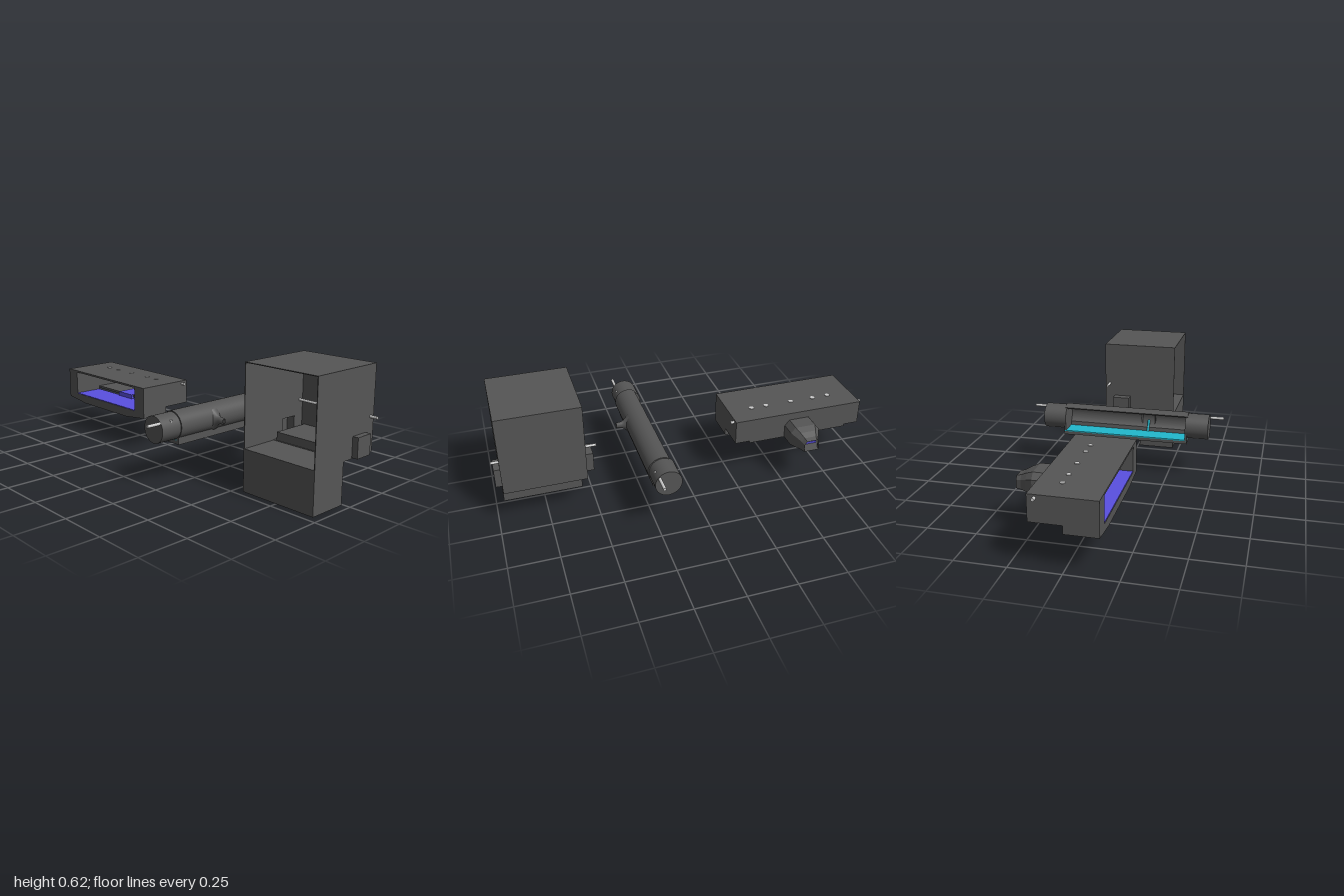
import * as THREE from 'three';

const mat = (color) => new THREE.MeshStandardMaterial({ color, side: THREE.DoubleSide });
const dark = mat(0x555555), grey = mat(0xcccccc), blue = mat(0x5a50e0), cyan = mat(0x22b8cc);

function add(group, name, geo, material) {
  const mesh = new THREE.Mesh(geo, material);
  mesh.name = name;
  group.add(mesh);
  return mesh;
}

// Box given by its limits on each axis
function box(group, name, [x0, x1], [y0, y1], [z0, z1], material = dark) {
  const geo = new THREE.BoxGeometry(x1 - x0, y1 - y0, z1 - z0);
  geo.translate((x0 + x1) / 2, (y0 + y1) / 2, (z0 + z1) / 2);
  return add(group, name, geo, material);
}

// Round bar between two points
function rod(group, name, a, b, r0, r1 = r0, material = grey) {
  const p = new THREE.Vector3(...a), q = new THREE.Vector3(...b);
  const dir = q.clone().sub(p);
  const mesh = add(group, name, new THREE.CylinderGeometry(r1, r0, dir.length(), 12), material);
  mesh.position.copy(p).add(q).multiplyScalar(0.5);
  mesh.quaternion.setFromUnitVectors(new THREE.Vector3(0, 1, 0), dir.normalize());
  return mesh;
}

const poly = (pts) => new THREE.Shape(pts.map(([x, y]) => new THREE.Vector2(x, y)));

function extrudeZ(shape, z0, z1) {
  const geo = new THREE.ExtrudeGeometry(shape, { depth: z1 - z0, bevelEnabled: false, curveSegments: 24 });
  return geo.translate(0, 0, z0);
}

// Open skin through rings of equal point count
function loft(rings) {
  const v = [];
  for (let i = 0; i < rings.length - 1; i++) {
    const a = rings[i], b = rings[i + 1], n = a.length;
    for (let j = 0; j < n; j++) {
      const k = (j + 1) % n;
      v.push(...a[j], ...b[j], ...b[k], ...a[j], ...b[k], ...a[k]);
    }
  }
  const geo = new THREE.BufferGeometry();
  geo.setAttribute('position', new THREE.Float32BufferAttribute(v, 3));
  geo.computeVertexNormals();
  return geo;
}

// Wide open-fronted housing with a rear nozzle
function wideHousing() {
  const g = new THREE.Group();
  g.name = 'wideHousing';
  const cx = -0.62;
  box(g, 'housingRoof', [-0.98, -0.26], [0.34, 0.35], [-0.155, 0.16]);
  box(g, 'housingFloor', [-0.9, -0.34], [0.22, 0.232], [-0.155, 0]);
  for (const [a, b] of [[-0.98, -0.9], [-0.34, -0.26]]) {
    box(g, 'housingSide', [a, b], [0.22, 0.34], [-0.155, 0.16]);
  }
  // Deeper front lip with angled lower corners
  const lip = poly([[-0.98, 0.18], [-0.82, 0.162], [-0.42, 0.162], [-0.26, 0.18],
    [-0.26, 0.22], [-0.34, 0.22], [-0.34, 0.208], [-0.9, 0.208], [-0.9, 0.22], [-0.98, 0.22]]);
  add(g, 'frontLip', extrudeZ(lip, 0, 0.16), dark);

  // Nozzle cross-section, scaled towards its mouth
  const section = [[-0.08, 0.21], [0.08, 0.21], [0.08, 0.28], [0.055, 0.31], [-0.055, 0.31], [-0.08, 0.28]];
  const wall = poly([[-0.9, 0.208], [-0.34, 0.208], [-0.34, 0.34], [-0.9, 0.34]]);
  wall.holes.push(new THREE.Path(section.map(([x, y]) => new THREE.Vector2(cx + x * 0.98, 0.212 + (y - 0.21) * 0.98))));
  add(g, 'housingBack', extrudeZ(wall, -0.155, -0.145), dark);
  const ring = (z, s, h) => section.map(([x, y]) => [cx + x * s, 0.218 + (y - 0.218) * h, z]);
  add(g, 'rearNozzle', loft([ring(-0.15, 1, 1), ring(-0.235, 1, 1), ring(-0.27, 0.78, 0.85),
    ring(-0.3, 0.58, 0.68), ring(-0.325, 0.5, 0.6)]), dark);

  // Blue bed, feed tongue and underside runner
  box(g, 'wideBed', [-0.9, -0.34], [0.206, 0.212], [0, 0.158], blue);
  box(g, 'feedTongue', [-0.68, -0.56], [0.212, 0.236], [-0.235, 0.012], blue);
  box(g, 'underRunner', [-0.68, -0.56], [0.206, 0.222], [-0.26, 0], blue);
  box(g, 'lipRunner', [-0.68, -0.56], [0.16, 0.166], [0, 0.155], blue);

  rod(g, 'crossRod', [-1, 0.334, -0.12], [-0.24, 0.334, -0.12], 0.008);
  for (const x of [-0.84, -0.75, -0.62, -0.475, -0.39]) {
    rod(g, 'roofPin', [x, 0.325, -0.04], [x, 0.353, -0.04], 0.013);
  }
  return g;
}

// Long tube, open along one side, with capped ends
function longTube() {
  const g = new THREE.Group();
  g.name = 'longTube';
  const cx = 0.2, cy = 0.28, r = 0.071, ri = 0.062;
  const top = 2.15, low = -0.85;
  const shell = new THREE.Shape();
  shell.absarc(cx, cy, r, top, low, true);
  shell.lineTo(0.247, 0.19);
  shell.lineTo(0.138, 0.19);
  shell.lineTo(0.138, 0.208);
  shell.lineTo(0.236, 0.208);
  shell.absarc(cx, cy, ri, low, top, false);
  add(g, 'tubeShell', extrudeZ(shell, -0.34, 0.352), dark);
  box(g, 'tubeBed', [0.138, 0.238], [0.207, 0.213], [-0.34, 0.352], cyan);

  for (const [z0, z1] of [[-0.455, -0.33], [0.342, 0.466]]) {
    rod(g, 'endCap', [0.198, 0.278, z0], [0.198, 0.278, z1], 0.068, 0.068, dark).geometry =
      new THREE.CylinderGeometry(0.068, 0.068, z1 - z0, 32);
  }
  // Collars closing the foot at both ends of the opening
  for (const z of [-0.34, 0.342]) {
    box(g, 'endCollar', [0.138, 0.247], [0.19, 0.26], [z, z + 0.01]);
  }
  rod(g, 'frontSpindle', [0.243, 0.317, 0.355], [0.243, 0.317, 0.54], 0.008);
  rod(g, 'rearSpindle', [0.243, 0.315, -0.41], [0.243, 0.315, -0.54], 0.008);
  for (const z of [-0.402, 0.402]) {
    rod(g, 'capPin', [0.23, 0.32, z], [0.256, 0.32, z], 0.006);
  }

  // Flared side spout
  const profile = [[0.055, 0], [0.04, 0.012], [0.026, 0.025], [0.018, 0.04], [0.016, 0.067], [0.01, 0.067]];
  const spout = add(g, 'sideSpout', new THREE.LatheGeometry(profile.map((p) => new THREE.Vector2(...p)), 16), dark);
  spout.rotation.z = -Math.PI / 2;
  spout.scale.set(1, 1, 0.75);
  spout.position.set(0.254, 0.278, 0.12);
  // Cyan runner climbing from the bed to the spout
  const path = new THREE.CatmullRomCurve3([[0.225, 0.213], [0.25, 0.235], [0.259, 0.262], [0.3, 0.272]]
    .map(([x, y]) => new THREE.Vector3(x, y, 0.12)));
  add(g, 'spoutRunner', new THREE.TubeGeometry(path, 12, 0.007, 8), cyan);
  return g;
}

// Tall cabinet with an open front and an overhanging rear
function tallCabinet() {
  const g = new THREE.Group();
  g.name = 'tallCabinet';
  const X = [0.545, 0.96], t = 0.004;
  box(g, 'cabinetBase', X, [0, 0.212], [0.01, 0.212]);
  box(g, 'cabinetFloor', X, [0.205, 0.214], [-0.203, 0.01]);
  box(g, 'cabinetRoof', X, [0.618, 0.622], [-0.203, 0.212]);
  box(g, 'cabinetBack', X, [0.21, 0.62], [-0.203, -0.199]);
  box(g, 'innerStep', [0.565, 0.91], [0.212, 0.255], [-0.199, 0.005]);

  // Side walls with an opening into each side pocket
  for (const [x, outer] of [[0.545, 0.5], [0.956, 0.99]]) {
    const s = poly([[-0.212, 0.21], [0.203, 0.21], [0.203, 0.62], [-0.212, 0.62]]);
    s.holes.push(new THREE.Path([[0.053, 0.216], [0.053, 0.305], [0.14, 0.305], [0.14, 0.216]]
      .map((p) => new THREE.Vector2(...p))));
    const geo = extrudeZ(s, 0, t).rotateY(Math.PI / 2);
    add(g, 'cabinetSide', geo.translate(x, 0, 0), dark);
    const inner = x + t / 2, span = [Math.min(inner, outer), Math.max(inner, outer)];
    const plate = outer < x ? [outer, outer + t] : [outer - t, outer];
    box(g, 'pocketFace', plate, [0.21, 0.31], [-0.145, -0.05]);
    box(g, 'pocketTop', span, [0.306, 0.31], [-0.145, -0.05]);
    box(g, 'pocketBottom', span, [0.21, 0.214], [-0.145, -0.05]);
    box(g, 'pocketFront', span, [0.21, 0.31], [-0.054, -0.05]);
    box(g, 'pocketRear', span, [0.21, 0.31], [-0.145, -0.141]);
  }
  rod(g, 'cabinetRod', [0.488, 0.382, -0.177], [0.998, 0.378, -0.177], 0.007);
  rod(g, 'hangingPin', [0.75, 0.135, -0.01], [0.75, 0.21, -0.01], 0.003, 0.003, dark);
  return g;
}

export function createModel() {
  const model = new THREE.Group();
  model.name = 'machineParts';
  model.add(wideHousing(), longTube(), tallCabinet());
  return model;
}
